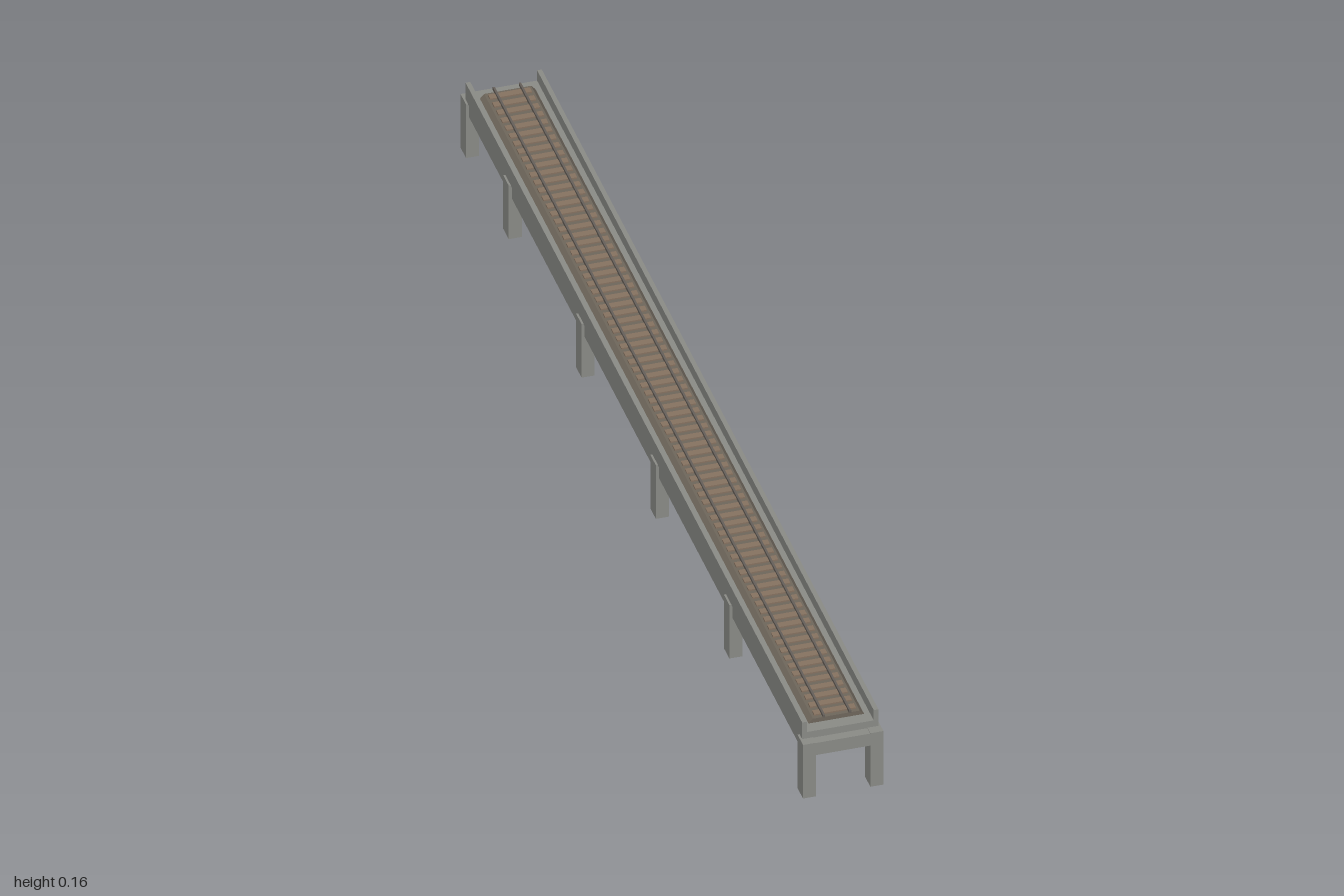
import * as THREE from 'three';

export function createModel() {
  const model = new THREE.Group();
  model.name = 'railwayViaduct';
  const material = (name, color) => {
    const m = new THREE.MeshStandardMaterial({ color });
    m.name = name;
    return m;
  };
  const concrete = material('concrete', 0x8b8c87);
  const gravel = material('gravel', 0x6f675c);
  const timber = material('timber', 0x877361);
  const steel = material('steel', 0x66605a);

  // The bridge is built along x, then turned to run diagonally
  const bridge = new THREE.Group();
  bridge.name = 'bridge';
  bridge.rotation.y = -Math.atan2(0.995, 1.925);
  model.add(bridge);

  // Box spanning y0..y1, centred on x and z
  function box(name, mat, length, y0, y1, width, x = 0, z = 0, parent = bridge) {
    const mesh = new THREE.Mesh(new THREE.BoxGeometry(length, y1 - y0, width), mat);
    mesh.name = name;
    mesh.position.set(x, (y0 + y1) / 2, z);
    parent.add(mesh);
    return mesh;
  }

  // Deck slab, girders and parapets
  box('deckSlab', concrete, 2.13, 0.116, 0.134, 0.138);
  for (const side of [-1, 1]) {
    box('girder', concrete, 2.13, 0.09, 0.12, 0.016, 0, side * 0.063);
    box('parapet', concrete, 2.13, 0.119, 0.157, 0.009, 0, side * 0.0685);
  }

  // Portal piers: two legs joined by a crossbeam
  for (const x of [-1.066, -0.796, -0.335, 0.135, 0.6, 1.066]) {
    const pier = new THREE.Group();
    pier.name = 'pier';
    pier.position.x = x;
    bridge.add(pier);
    for (const side of [-1, 1]) {
      box('pierLeg', concrete, 0.035, 0, 0.12, 0.025, 0, side * 0.0645, pier);
    }
    box('crossbeam', concrete, 0.034, 0.092, 0.119, 0.106, 0, 0, pier);
  }

  // Ballast bed with sloping shoulders
  const profile = new THREE.Shape([
    new THREE.Vector2(-0.054, 0.133), new THREE.Vector2(0.054, 0.133),
    new THREE.Vector2(0.045, 0.143), new THREE.Vector2(-0.045, 0.143),
  ]);
  const bedGeometry = new THREE.ExtrudeGeometry(profile, { depth: 2.08, bevelEnabled: false });
  bedGeometry.translate(0, 0, -1.04).rotateY(Math.PI / 2);
  const bed = new THREE.Mesh(bedGeometry, gravel);
  bed.name = 'ballastBed';
  bridge.add(bed);

  // Sleepers and rails
  const count = 80;
  for (let i = 0; i < count; i++) {
    box('sleeper', timber, 0.014, 0.142, 0.146, 0.08, -1.025 + (2.05 * i) / (count - 1));
  }
  for (const side of [-1, 1]) {
    box('rail', steel, 2.09, 0.145, 0.151, 0.004, 0, side * 0.025);
  }
  return model;
}
